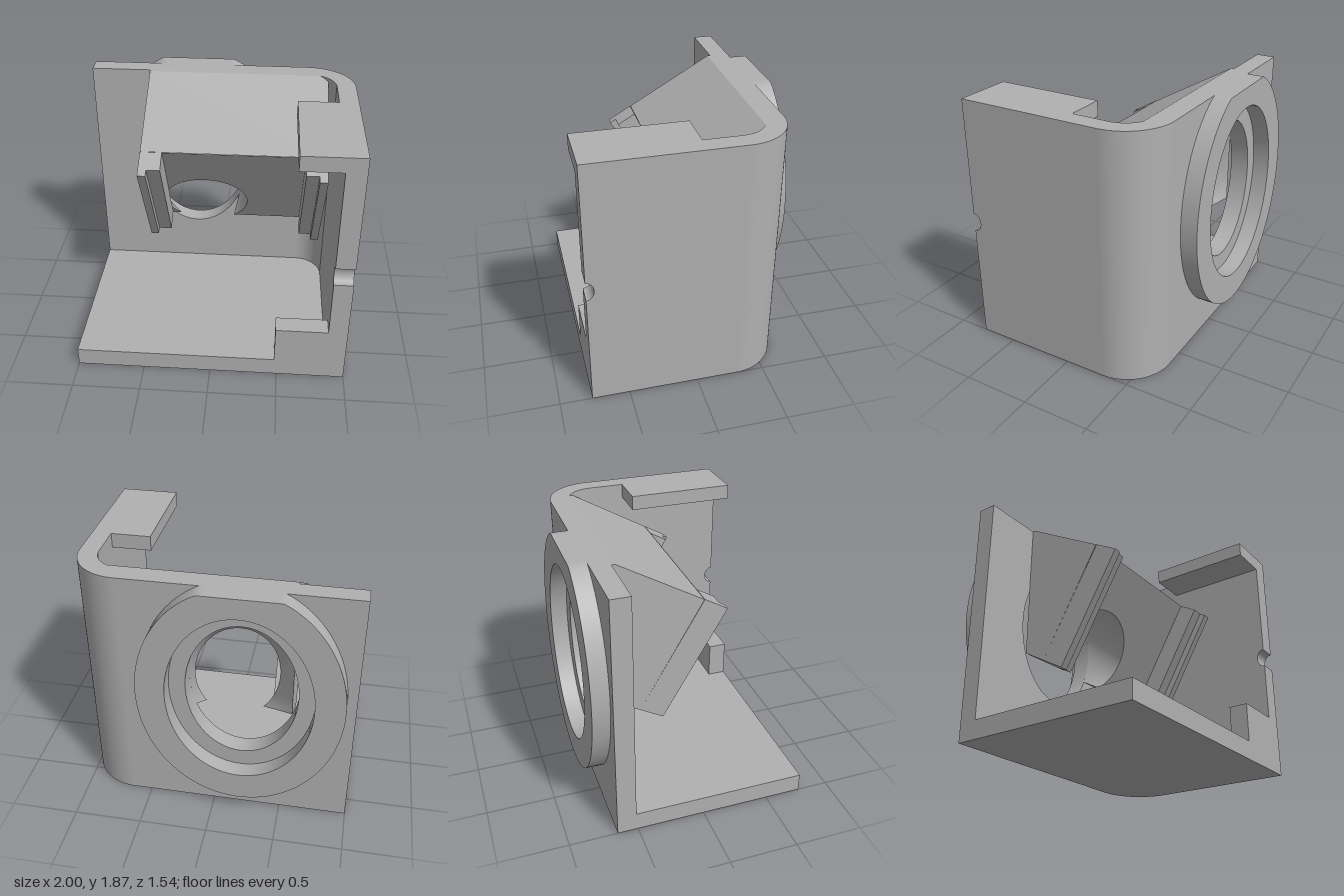
import * as THREE from 'three';
import { toCreasedNormals } from 'three/addons/utils/BufferGeometryUtils.js';

const grey = new THREE.MeshStandardMaterial({ color: 0xb0b0b0, side: THREE.DoubleSide });
grey.name = 'grey';

const H = 1.87;              // overall height
const BACK = -0.65;          // outer face of the back wall
const INNER = -0.51;         // inner face of the back wall
const TILT = Math.PI / 6;    // tilt of the holder

function add(parent, name, geometry) {
  const mesh = new THREE.Mesh(geometry, grey);
  mesh.name = name;
  parent.add(mesh);
  return mesh;
}

function box(parent, name, x0, x1, y0, y1, z0, z1) {
  const m = add(parent, name, new THREE.BoxGeometry(x1 - x0, y1 - y0, z1 - z0));
  m.position.set((x0 + x1) / 2, (y0 + y1) / 2, (z0 + z1) / 2);
  return m;
}

function extrude(shape, depth) {
  const g = new THREE.ExtrudeGeometry(shape, { depth, bevelEnabled: false, curveSegments: 48 });
  return toCreasedNormals(g, 0.5);
}

// Ellipse around the opening centre, optionally cut off at the top edge
function ellipsePoints(a, b, n = 96) {
  return Array.from({ length: n }, (_, i) => {
    const t = (i / n) * Math.PI * 2;
    return new THREE.Vector2(-0.2 + a * Math.cos(t), Math.min(1.05 + b * Math.sin(t), H));
  });
}

// Flat-shaded convex polygons, each a list of [x, y, z]
function polygons(list) {
  const pos = [];
  for (const p of list)
    for (let i = 1; i < p.length - 1; i++) pos.push(...p[0], ...p[i], ...p[i + 1]);
  const g = new THREE.BufferGeometry();
  g.setAttribute('position', new THREE.Float32BufferAttribute(pos, 3));
  g.computeVertexNormals();
  return g;
}

function buildHousing(root) {
  // Back wall with the oval opening
  const wall = new THREE.Shape([[-1, 0], [0.65, 0], [0.65, H], [-1, H]].map(p => new THREE.Vector2(...p)));
  wall.holes.push(new THREE.Path(ellipsePoints(0.4, 0.54)));
  add(root, 'backWall', extrude(wall, INNER - BACK)).position.z = BACK;

  // Rounded corner joining the back and side walls (plan drawn with z negated)
  const corner = new THREE.Shape();
  corner.absarc(0.65, 0.30, 0.35, 0, Math.PI / 2, false);
  corner.absarc(0.65, 0.30, 0.21, Math.PI / 2, 0, true);
  add(root, 'roundedCorner', extrude(corner, H).rotateX(-Math.PI / 2));

  // Side wall with a half-round notch in its front edge (drawn as -z, y)
  const side = new THREE.Shape();
  side.moveTo(-0.77, 0);
  side.lineTo(0.30, 0);
  side.lineTo(0.30, H);
  side.lineTo(-0.77, H);
  side.lineTo(-0.77, 1.01);
  side.absellipse(-0.77, 0.94, 0.057, 0.07, Math.PI / 2, -Math.PI / 2, true);
  add(root, 'sideWall', extrude(side, 0.14).rotateY(Math.PI / 2)).position.x = 0.86;

  // Floor, following the inside of the corner
  const floor = new THREE.Shape();
  floor.moveTo(-1, -0.77);
  floor.lineTo(0.86, -0.77);
  floor.absarc(0.65, 0.30, 0.21, 0, Math.PI / 2, false);
  floor.lineTo(-1, 0.51);
  add(root, 'floor', extrude(floor, 0.14).rotateX(-Math.PI / 2));

  box(root, 'topTab', 0.57, 0.86, 1.76, H, -0.03, 0.77);
  box(root, 'bottomTab', 0.48, 0.86, 0.14, 0.43, 0.63, 0.77);

  // Raised oval collar behind the wall
  const ring = new THREE.Shape(ellipsePoints(0.73, 0.89));
  ring.holes.push(new THREE.Path(ellipsePoints(0.52, 0.67)));
  add(root, 'backCollar', extrude(ring, 0.125)).position.z = -0.775;
}

function buildHolder(root) {
  const x0 = -0.55, x1 = 0.805, len = 0.947;
  const baseY = 0.69, baseZ = -0.333;
  const cx = -0.1, cv = 0.2425, r = 0.325;
  const t0 = -Math.asin(cv / r);
  const half = r * Math.cos(t0);

  // Tilted seat and its side rails
  const seat = new THREE.Group();
  seat.name = 'tiltedSeat';
  seat.position.set(0, baseY, baseZ);
  seat.rotation.x = TILT;
  root.add(seat);

  const face = new THREE.Shape();
  face.moveTo(x0, 0);
  face.lineTo(cx - half, 0);
  face.absarc(cx, cv, r, Math.PI - t0, t0, true);
  face.lineTo(x1, 0);
  face.lineTo(x1, len);
  face.lineTo(x0, len);
  add(seat, 'seatFace', new THREE.ShapeGeometry(face, 64));
  box(seat, 'outerRailRight', x0, -0.49, 0, len, 0, 0.2);
  box(seat, 'innerRailRight', -0.49, -0.39, 0, len, 0, 0.15);
  box(seat, 'innerRailLeft', 0.65, 0.745, 0, len, 0, 0.15);
  box(seat, 'outerRailLeft', 0.745, x1, 0, len, 0, 0.2);

  // Solid sides, top and underside running back to the wall
  const profile = [[H, INNER], [H, -0.487], [1.51, 0.137], [baseY, baseZ], [0.792, INNER]];
  const at = (x, i) => [x, ...profile[i]];
  const list = [
    profile.map((_, i) => at(x0, i)),
    profile.map((_, i) => at(x1, i)).reverse(),
    [at(x0, 0), at(x0, 1), at(x1, 1), at(x1, 0)],
    [at(x0, 1), at(x0, 2), at(x1, 2), at(x1, 1)],
    [at(x0, 3), at(x0, 4), at(cx - half, 3)],
    [at(cx + half, 3), at(0.151, 4), at(x1, 4), at(x1, 3)],
  ];
  add(root, 'holderBody', polygons(list));

  // Bore blending the round seat opening into the oval wall opening
  const n = 64, pos = [], idx = [];
  const k = (Math.PI / 2 + 0.5) / (Math.PI / 2 - t0);
  for (let i = 0; i <= n; i++) {
    const t = t0 + (Math.PI - 2 * t0) * (i / n);
    const tb = Math.PI / 2 + (t - Math.PI / 2) * k;
    const v = cv + r * Math.sin(t);
    pos.push(cx + r * Math.cos(t), baseY + v * Math.cos(TILT), baseZ + v * Math.sin(TILT));
    pos.push(Math.max(x0, -0.2 + 0.4 * Math.cos(tb)), 1.05 + 0.54 * Math.sin(tb), INNER);
    if (i < n) {
      const a = 2 * i;
      idx.push(a, a + 1, a + 2, a + 1, a + 3, a + 2);
    }
  }
  const bore = new THREE.BufferGeometry();
  bore.setAttribute('position', new THREE.Float32BufferAttribute(pos, 3));
  bore.setIndex(idx);
  bore.computeVertexNormals();
  add(root, 'bore', bore);
}

export function createModel() {
  const root = new THREE.Group();
  root.name = 'cornerHousing';
  buildHousing(root);
  buildHolder(root);
  return root;
}
